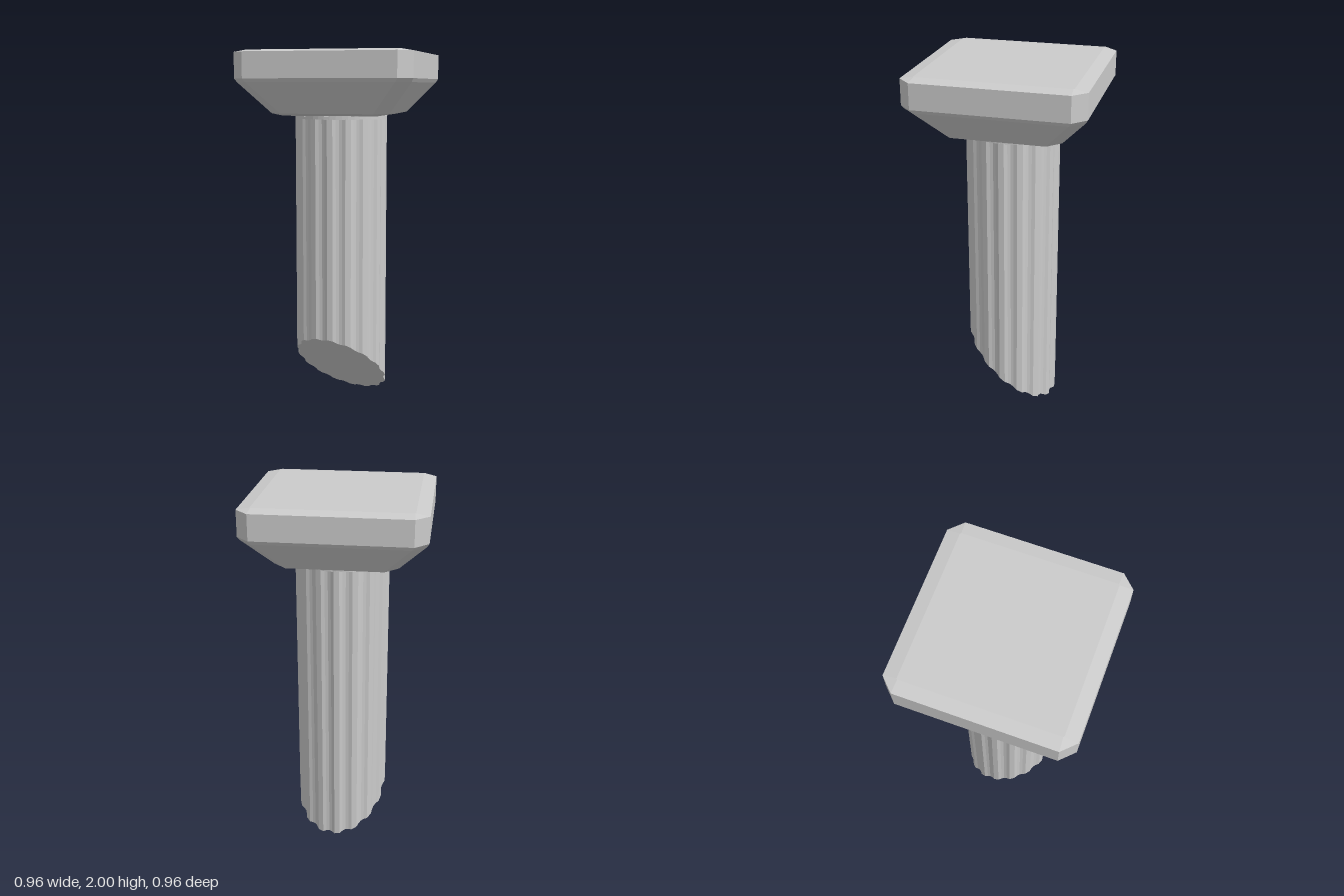
import * as THREE from 'three';

const material = new THREE.MeshStandardMaterial({ color: 0xcccccc, flatShading: true });

// Square outline with cut corners, counter-clockwise seen from above
function cutSquare(y, half, cut) {
  const h = half, c = half - cut;
  return [[h, c], [c, h], [-c, h], [-h, c], [-h, -c], [-c, -h], [c, -h], [h, -c]]
    .map(([x, z]) => [x, y, -z]);
}

// Skin a stack of equal-length rings from bottom to top, with flat caps
function loft(rings) {
  const n = rings[0].length;
  const index = [];
  for (let r = 0; r < rings.length - 1; r++) {
    for (let i = 0; i < n; i++) {
      const a = r * n + i, b = r * n + (i + 1) % n;
      index.push(a, b, b + n, a, b + n, a + n);
    }
  }
  const top = (rings.length - 1) * n;
  for (let i = 1; i < n - 1; i++) {
    index.push(0, i + 1, i);
    index.push(top, top + i, top + i + 1);
  }
  const geometry = new THREE.BufferGeometry();
  geometry.setAttribute('position', new THREE.Float32BufferAttribute(rings.flat(2), 3));
  geometry.setIndex(index);
  const flat = geometry.toNonIndexed();
  flat.computeVertexNormals();
  return flat;
}

// Fluted shaft, broken off along a slanted plane
function shaftGeometry() {
  const flutes = 16, radius = 0.257, depth = 0.013, ridge = 0.06, steps = 4;
  const points = [];
  for (let f = 0; f < flutes; f++) {
    const start = (f / flutes) * Math.PI * 2 + ridge;
    const span = (Math.PI * 2) / flutes - 2 * ridge;
    for (let s = 0; s <= steps; s++) {
      const t = s / steps;
      const r = radius - depth * Math.sin(Math.PI * t);
      points.push(new THREE.Vector2(r * Math.cos(start + span * t), r * Math.sin(start + span * t)));
    }
  }
  const geometry = new THREE.ExtrudeGeometry(new THREE.Shape(points), { depth: 1.635, bevelEnabled: false });
  geometry.rotateX(-Math.PI / 2);
  const p = geometry.attributes.position;
  for (let i = 0; i < p.count; i++) {
    if (p.getY(i) < 0.01) p.setY(i, Math.max(0, 0.208 + 0.8 * p.getZ(i) - 0.16 * p.getX(i)));
  }
  geometry.computeVertexNormals();
  return geometry;
}

export function createModel() {
  const group = new THREE.Group();
  const add = (name, geometry) => {
    const mesh = new THREE.Mesh(geometry, material);
    mesh.name = name;
    group.add(mesh);
    return mesh;
  };

  add('brokenShaft', shaftGeometry());

  // Plain collar where the flutes stop, slightly narrowed under the capital
  add('collar', new THREE.CylinderGeometry(0.257, 0.257, 0.016, 48)).position.y = 1.64;
  add('neck', new THREE.CylinderGeometry(0.25, 0.25, 0.02, 48)).position.y = 1.655;

  // Capital: tapered underside, straight rim, shallow bevel on top
  add('capital', loft([
    cutSquare(1.652, 0.26, 0.005),
    cutSquare(1.665, 0.325, 0.07),
    cutSquare(1.83, 0.468, 0.07),
    cutSquare(1.85, 0.48, 0.07),
    cutSquare(1.988, 0.48, 0.07),
    cutSquare(2.0, 0.41, 0.005),
  ]));

  return group;
}
